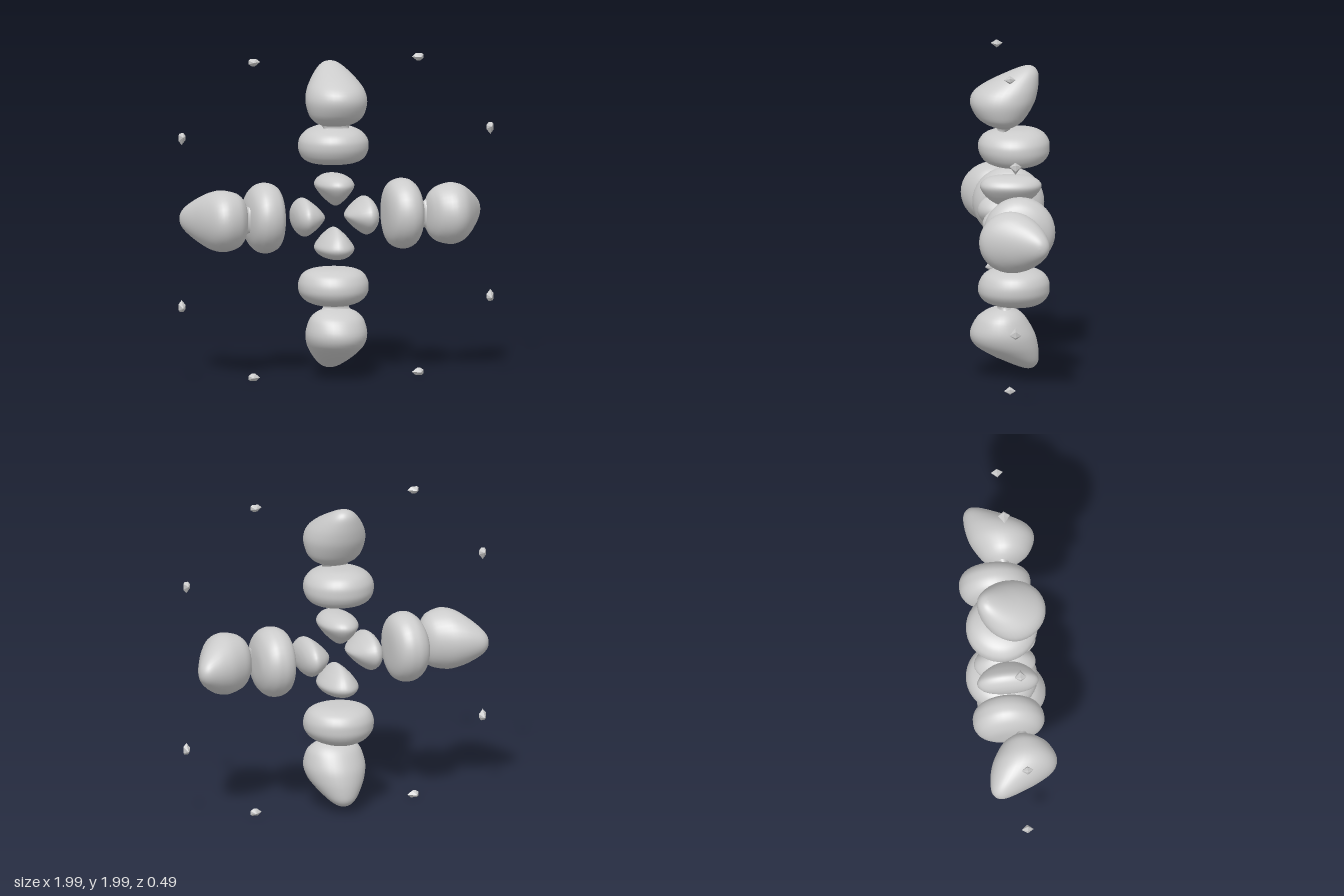
import * as THREE from 'three';
import { mergeVertices } from 'three/addons/utils/BufferGeometryUtils.js';
import { ConvexGeometry } from 'three/addons/geometries/ConvexGeometry.js';

const smooth = new THREE.MeshStandardMaterial({ color: 0xcccccc });
const faceted = new THREE.MeshStandardMaterial({ color: 0xcccccc, flatShading: true });

// Smooth blob lofted outward from elliptical slices: [radius, back z, front z, half width]
function lobeGeometry(slices) {
  const spine = new THREE.CatmullRomCurve3(
    slices.map(([r, back, front]) => new THREE.Vector3(r, back, front)), false, 'catmullrom');
  const width = new THREE.CatmullRomCurve3(
    slices.map(([r, , , w]) => new THREE.Vector3(r, w, 0)), false, 'catmullrom');
  const geo = new THREE.SphereGeometry(1, 36, 40);
  const { position, uv } = geo.attributes;
  for (let i = 0; i < position.count; i++) {
    const t = uv.getY(i), a = uv.getX(i) * Math.PI * 2;
    const s = spine.getPoint(t), w = Math.max(0, width.getPoint(t).y);
    position.setXYZ(i, -Math.cos(a) * w, s.x, (s.y + s.z) / 2 + Math.sin(a) * (s.z - s.y) / 2);
  }
  geo.deleteAttribute('uv');
  geo.deleteAttribute('normal');
  const welded = mergeVertices(geo, 1e-5);
  welded.computeVertexNormals();
  return welded;
}

const lobes = {
  innerLobe: lobeGeometry([
    [0.065, 0, 0, 0], [0.075, -0.06, 0.06, 0.02], [0.10, -0.115, 0.11, 0.05],
    [0.14, -0.165, 0.155, 0.087], [0.19, -0.195, 0.183, 0.118], [0.225, -0.18, 0.17, 0.105],
    [0.25, -0.135, 0.13, 0.072], [0.262, -0.07, 0.07, 0.035], [0.265, 0, 0, 0],
  ]),
  middleLobe: lobeGeometry([
    [0.32, -0.03, -0.03, 0], [0.323, -0.11, 0.05, 0.09], [0.335, -0.17, 0.11, 0.15],
    [0.36, -0.215, 0.158, 0.19], [0.40, -0.24, 0.185, 0.212], [0.44, -0.245, 0.195, 0.217],
    [0.48, -0.24, 0.19, 0.208], [0.52, -0.215, 0.16, 0.175], [0.545, -0.175, 0.10, 0.125],
    [0.557, -0.13, 0.03, 0.07], [0.56, -0.06, -0.06, 0],
  ]),
  outerLobe: lobeGeometry([
    [0.56, 0.03, 0.03, 0], [0.565, -0.005, 0.075, 0.07], [0.578, -0.035, 0.12, 0.11],
    [0.60, -0.07, 0.165, 0.143], [0.64, -0.105, 0.21, 0.172], [0.72, -0.15, 0.245, 0.19],
    [0.79, -0.17, 0.222, 0.175], [0.85, -0.177, 0.135, 0.138], [0.90, -0.175, 0.03, 0.095],
    [0.93, -0.16, -0.04, 0.06], [0.945, -0.138, -0.085, 0.03], [0.95, -0.11, -0.11, 0],
  ]),
  // Thin waist joining the middle and outer lobes
  neck: lobeGeometry([
    [0.48, 0.07, 0.07, 0], [0.485, 0.02, 0.12, 0.11], [0.52, 0.02, 0.11, 0.10],
    [0.545, 0.01, 0.08, 0.08], [0.57, -0.01, 0.08, 0.09], [0.60, -0.02, 0.10, 0.11],
    [0.61, 0.03, 0.03, 0],
  ]),
};

// Small faceted chip, its tip pointing along -x
const chipGeometry = new ConvexGeometry([
  [-0.04, 0, 0], [0.033, 0.012, 0], [0.033, -0.012, 0], [-0.016, 0.02, 0], [0.022, 0.02, 0],
  [-0.008, -0.025, 0], [0.014, -0.025, 0], [0.01, 0, 0.037], [0.01, 0, -0.037],
].map((p) => new THREE.Vector3(...p)));

export function createModel() {
  const model = new THREE.Group();
  model.name = 'radialLobes';

  // Four identical arms around the z axis, each flanked by two chips
  for (let i = 0; i < 4; i++) {
    const arm = new THREE.Group();
    arm.name = ['topArm', 'rightArm', 'bottomArm', 'leftArm'][i];
    arm.position.y = 1;
    arm.rotation.z = i * Math.PI / 2;
    for (const [name, geometry] of Object.entries(lobes)) {
      const lobe = new THREE.Mesh(geometry, smooth);
      lobe.name = name;
      arm.add(lobe);
    }
    for (const side of [-1, 1]) {
      const chip = new THREE.Mesh(chipGeometry, faceted);
      chip.name = 'chip';
      chip.position.set(side * 0.52, 0.976, 0.04);
      chip.rotation.y = side < 0 ? Math.PI : 0;
      arm.add(chip);
    }
    model.add(arm);
  }
  return model;
}
